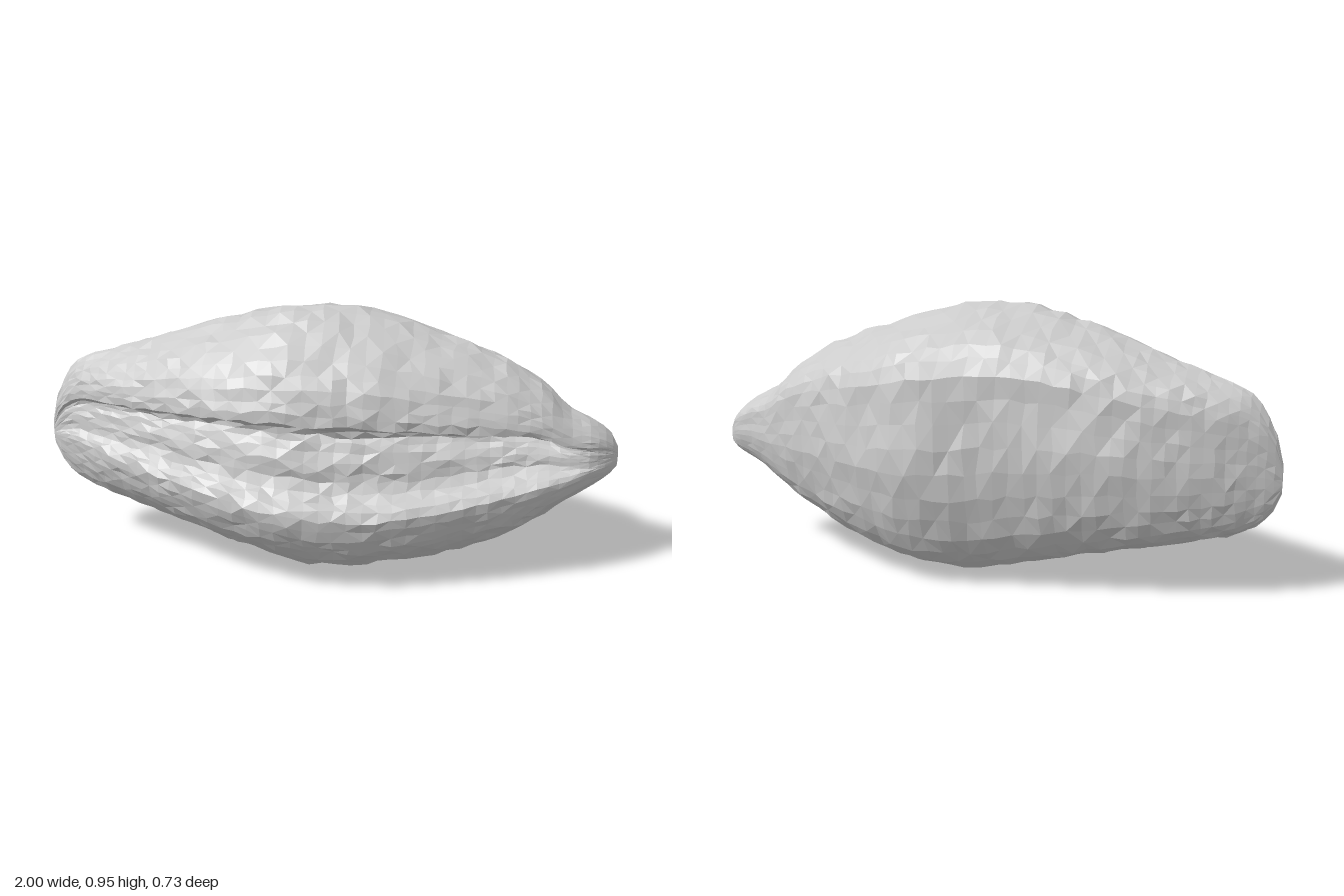
import * as THREE from 'three';

// Stations along the body: x, bottom, top, back z, front z, groove depth
const STATIONS = [
  [-1, 0.37, 0.47, -0.075, -0.05, 0],
  [-0.97, 0.30, 0.58, -0.095, -0.03, 0.01],
  [-0.9, 0.24, 0.685, -0.13, 0.005, 0.03],
  [-0.8, 0.20, 0.735, -0.18, 0.07, 0.05],
  [-0.6, 0.15, 0.80, -0.25, 0.18, 0.07],
  [-0.4, 0.10, 0.87, -0.29, 0.28, 0.085],
  [-0.15, 0.035, 0.935, -0.315, 0.355, 0.10],
  [0, 0.005, 0.945, -0.335, 0.355, 0.105],
  [0.2, 0.015, 0.915, -0.37, 0.335, 0.11],
  [0.4, 0.06, 0.85, -0.305, 0.29, 0.115],
  [0.6, 0.13, 0.775, -0.215, 0.235, 0.105],
  [0.74, 0.21, 0.69, -0.165, 0.19, 0.08],
  [0.82, 0.27, 0.61, -0.13, 0.155, 0.04],
  [0.9, 0.32, 0.57, -0.1, 0.115, 0.01],
  [0.97, 0.36, 0.515, -0.08, 0.055, 0],
  [1, 0.385, 0.46, -0.05, 0.0, 0],
];

// Cross-section: z (-1 back, 1 front), height (0..1), share of groove depth
const PROFILE = [
  [0.05, 1, 0], [0.32, 0.97, 0], [0.6, 0.92, 0], [0.84, 0.84, 0], [0.95, 0.76, 0],
  [1, 0.69, 0], [0.98, 0.645, 0.5], [1, 0.59, 1.35], [1, 0.55, 1.15], [1, 0.48, 0.9],
  [1, 0.42, 0.85], [1, 0.36, 0.4], [1, 0.31, 0], [0.93, 0.23, 0], [0.82, 0.16, 0],
  [0.58, 0.08, 0], [0.2, 0, 0], [-0.2, 0.015, 0], [-0.55, 0.06, 0], [-0.8, 0.16, 0],
  [-0.93, 0.3, 0], [-1, 0.48, 0], [-0.95, 0.65, 0], [-0.9, 0.8, 0], [-0.72, 0.89, 0],
  [-0.35, 0.955, 0],
];

// Smooth (Hermite) interpolation between the stations
function stationAt(x) {
  const last = STATIONS.length - 1;
  let k = 0;
  while (k < last - 1 && x > STATIONS[k + 1][0]) k++;
  const a = STATIONS[k], b = STATIONS[k + 1];
  const before = STATIONS[Math.max(k - 1, 0)], after = STATIONS[Math.min(k + 2, last)];
  const h = b[0] - a[0], t = (x - a[0]) / h;
  return a.map((v, i) => {
    const m0 = h * (b[i] - before[i]) / (b[0] - before[0]);
    const m1 = h * (after[i] - v) / (after[0] - a[0]);
    const d = b[i] - v;
    return v + t * (m0 + t * (3 * d - 2 * m0 - m1 + t * (m0 + m1 - 2 * d)));
  });
}

function seededRandom(seed) {
  return () => {
    seed = (seed * 16807) % 2147483647;
    return seed / 2147483647 - 0.5;
  };
}

function bodyGeometry() {
  const rings = 50, sides = 50;
  const random = seededRandom(71);
  const curve = new THREE.CatmullRomCurve3(PROFILE.map(p => new THREE.Vector3(...p)), true);
  const section = Array.from({ length: sides }, (_, j) => curve.getPoint(j / sides));
  const positions = [], index = [];

  // the first and last rings collapse to a point and close the tips
  for (let i = -1; i <= rings + 1; i++) {
    const s = THREE.MathUtils.clamp(i / rings, 0, 1);
    // stations crowd slightly toward the two tips
    const x = THREE.MathUtils.lerp(2 * s - 1, -Math.cos(Math.PI * s), 0.4);
    const [, bottom, top, back, front, depth] = stationAt(x);
    const height = top - bottom, midZ = (back + front) / 2;
    const closed = i < 0 || i > rings;
    const rough = i > 0 && i < rings ? 0.015 * height : 0;
    for (const p of section) {
      if (closed) {
        positions.push(x, bottom + height / 2, midZ);
        continue;
      }
      // the groove rides a little higher toward the tips
      const lift = 0.1 * x * x * height * Math.sin(Math.PI * p.y) * Math.max(p.x, 0);
      positions.push(
        x + random() * rough,
        bottom + height * p.y + lift + random() * rough,
        midZ + p.x * (front - back) / 2 - depth * p.z + random() * rough
      );
    }
  }
  for (let i = 0; i < rings + 2; i++) {
    for (let j = 0; j < sides; j++) {
      const a = i * sides + j, b = i * sides + (j + 1) % sides;
      const c = a + sides, d = b + sides;
      if (i === 0) index.push(a, d, c);
      else if (i === rings + 1) index.push(a, b, c);
      else if ((i + j) % 2) index.push(a, b, c, b, d, c);
      else index.push(a, b, d, a, d, c);
    }
  }
  const geometry = new THREE.BufferGeometry();
  geometry.setAttribute('position', new THREE.Float32BufferAttribute(positions, 3));
  geometry.setIndex(index);
  geometry.computeVertexNormals();
  return geometry;
}

export function createModel() {
  const group = new THREE.Group();
  const material = new THREE.MeshStandardMaterial({ color: 0xcccccc, flatShading: true });
  const body = new THREE.Mesh(bodyGeometry(), material);
  body.name = 'groovedSeedBody';
  group.add(body);
  return group;
}
